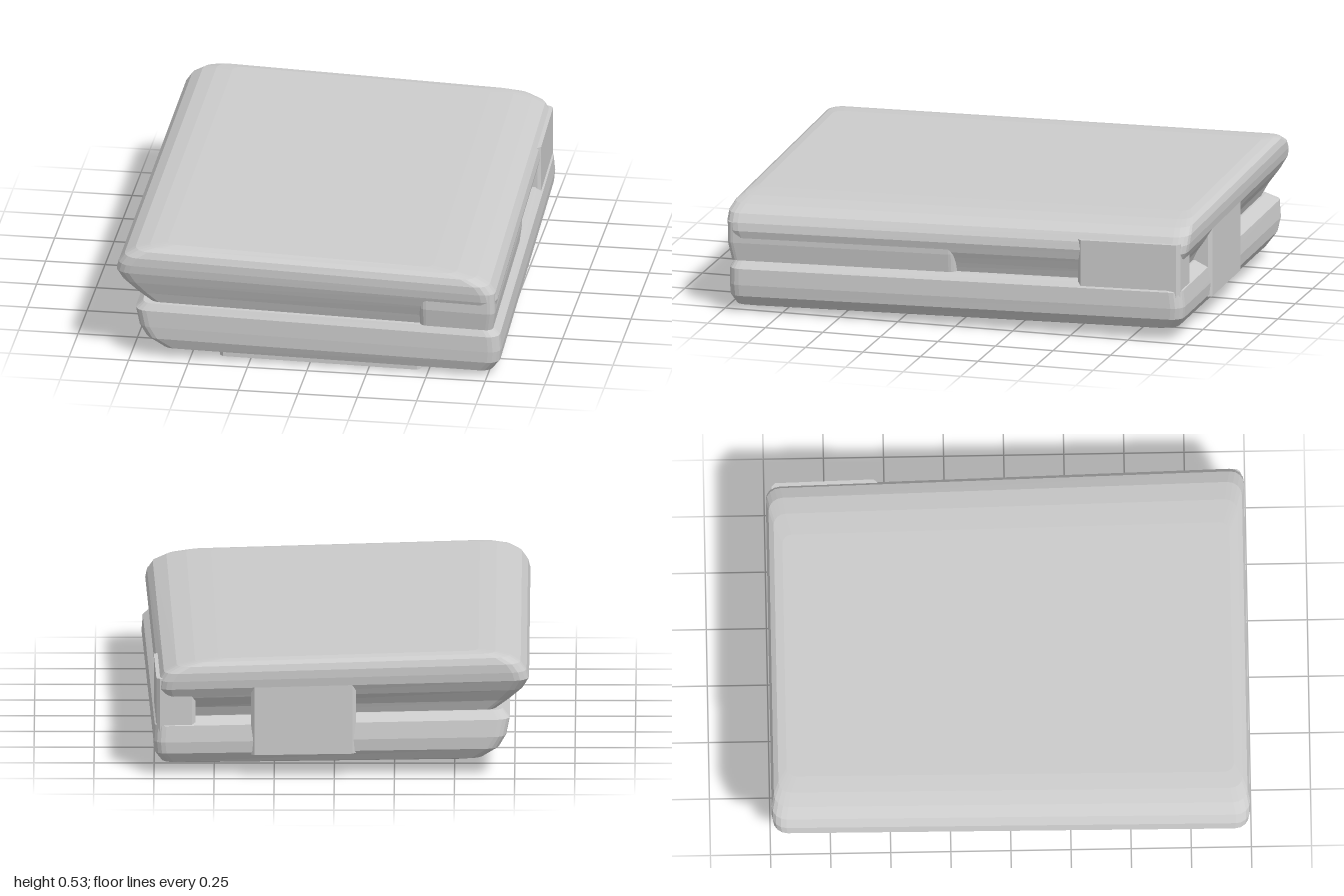
import * as THREE from 'three';

const material = new THREE.MeshStandardMaterial({ color: 0xcccccc, flatShading: true });

// Slight overall lean: lower and a little wider towards the front right
function lean(x, y, z) {
  const wide = x > 0.3 ? 0.03 * z * (x / 0.78) : 0;
  return [x + wide, y - x * (0.012 + 0.04 * y) - 0.016 * z, z];
}

// Loft of rounded rectangles; each layer is [y, xMin, xMax, zMin, zMax, cornerRadius]
function slab(name, layers, steps = 4) {
  const positions = [], indices = [];
  const count = 4 * (steps + 1);
  for (const [y, x0, x1, z0, z1, r] of layers) {
    const corners = [[x1 - r, z1 - r], [x0 + r, z1 - r], [x0 + r, z0 + r], [x1 - r, z0 + r]];
    corners.forEach(([cx, cz], k) => {
      for (let s = 0; s <= steps; s++) {
        const a = (k + s / steps) * Math.PI / 2;
        positions.push(...lean(cx + r * Math.cos(a), y, cz + r * Math.sin(a)));
      }
    });
  }
  for (let l = 0; l < layers.length - 1; l++) {
    for (let i = 0; i < count; i++) {
      const a = l * count + i, b = l * count + (i + 1) % count;
      indices.push(a, a + count, b, b, a + count, b + count);
    }
  }
  // Flat caps fanned from a centre point
  [0, layers.length - 1].forEach((l, top) => {
    const [y, x0, x1, z0, z1] = layers[l];
    const c = positions.length / 3;
    positions.push(...lean((x0 + x1) / 2, y, (z0 + z1) / 2));
    for (let i = 0; i < count; i++) {
      const a = l * count + i, b = l * count + (i + 1) % count;
      if (top) indices.push(c, b, a);
      else indices.push(c, a, b);
    }
  });
  const geometry = new THREE.BufferGeometry();
  geometry.setAttribute('position', new THREE.Float32BufferAttribute(positions, 3));
  geometry.setIndex(indices);
  geometry.computeVertexNormals();
  const mesh = new THREE.Mesh(geometry, material);
  mesh.name = name;
  return mesh;
}

// Plain joining block between the two slabs
function block(name, x0, x1, y0, y1, z0, z1) {
  return slab(name, [[y0, x0, x1, z0, z1, 0.015], [y1, x0, x1, z0, z1, 0.015]], 1);
}

export function createModel() {
  const model = new THREE.Group();
  model.name = 'stackedSlabs';

  model.add(
    slab('lowerSlab', [
      [0.04, -0.56, 0.70, -0.90, 0.92, 0.04],
      [0.055, -0.62, 0.745, -0.95, 0.955, 0.05],
      [0.10, -0.685, 0.775, -0.98, 0.972, 0.05],
      [0.15, -0.715, 0.78, -0.985, 0.975, 0.05],
      [0.22, -0.73, 0.775, -0.975, 0.975, 0.05],
      [0.248, -0.70, 0.745, -0.92, 0.96, 0.04],
    ]),
    slab('upperSlab', [
      [0.246, -0.67, 0.72, -0.91, 0.94, 0.04],
      [0.29, -0.73, 0.735, -0.93, 0.955, 0.05],
      [0.34, -0.785, 0.755, -0.965, 0.975, 0.06],
      [0.385, -0.81, 0.765, -0.99, 0.99, 0.06],
      [0.42, -0.80, 0.758, -0.995, 0.995, 0.06],
      [0.455, -0.775, 0.735, -0.995, 0.995, 0.06],
      [0.482, -0.73, 0.68, -0.985, 0.985, 0.06],
      [0.496, -0.67, 0.60, -0.965, 0.965, 0.05],
      [0.502, -0.60, 0.50, -0.93, 0.93, 0.04],
    ]),
    // Underside of the upper slab at the front right corner
    slab('frontCornerBlock', [
      [0.25, 0.45, 0.748, 0, 0.97, 0.03],
      [0.33, 0.45, 0.758, 0, 0.985, 0.03],
      [0.42, 0.45, 0.757, 0, 0.985, 0.03],
    ]),
    block('rearSideWall', 0.60, 0.768, 0.10, 0.43, -0.97, -0.53),
    block('rearBridge', -0.09, 0.36, 0.09, 0.44, -0.99, -0.85),
    // Thin pad beneath the front edge
    block('bottomPad', -0.38, 0.45, 0.022, 0.06, 0.50, 0.92),
  );
  return model;
}
